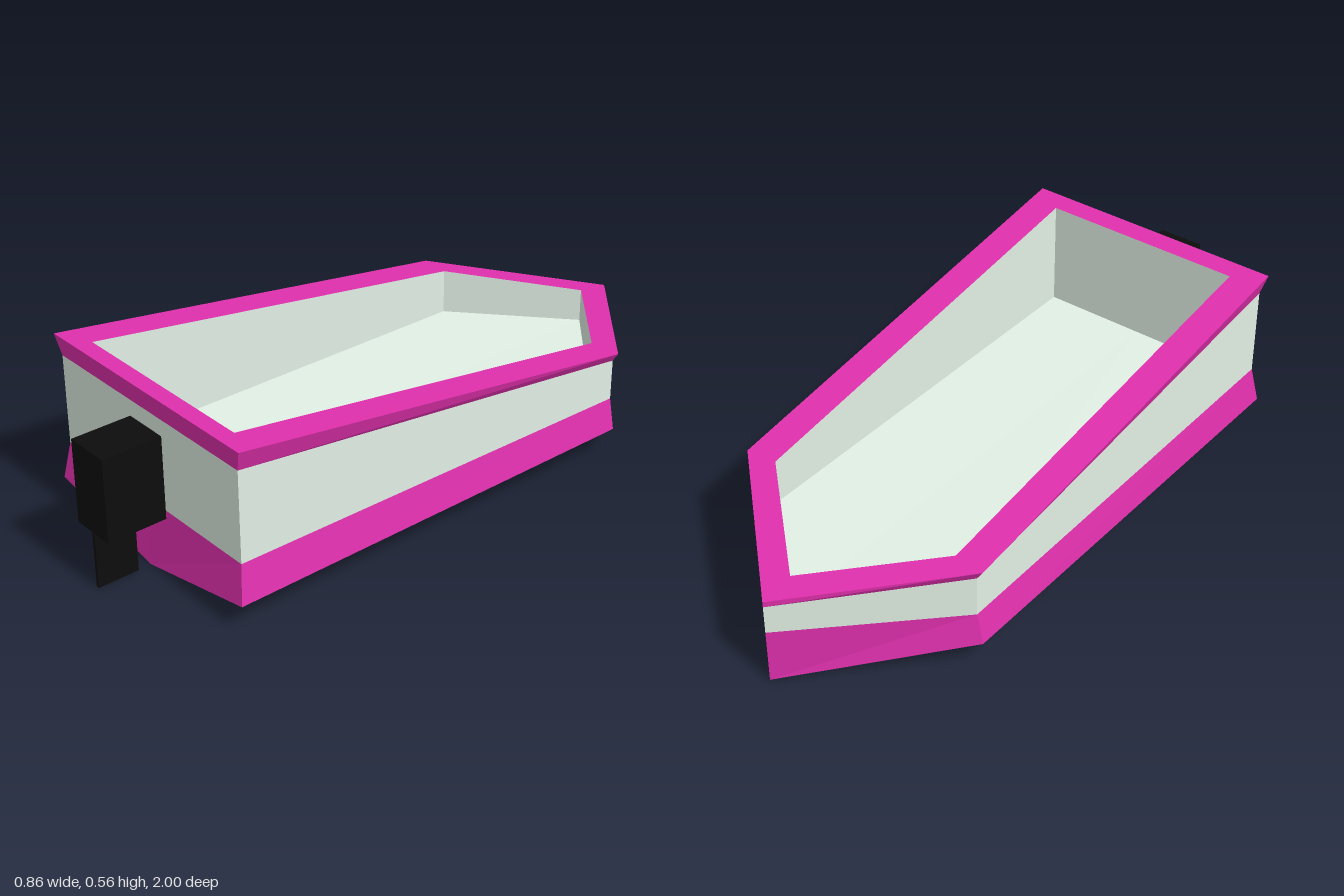
import * as THREE from 'three';

const paint = (color) => new THREE.MeshStandardMaterial({ color, flatShading: true });

// Six-point plan outline: stern corner, shoulder, bow, shoulder, stern corner, stern middle.
// Each station is [z, y].
function ring(halfWidth, stern, shoulder, bow, middleY = stern[1]) {
  const at = (x, [z, y]) => [x, y, z];
  return [
    at(halfWidth, stern), at(halfWidth, shoulder), at(0, bow),
    at(-halfWidth, shoulder), at(-halfWidth, stern), [0, middleY, stern[0]],
  ];
}

// Band of quads between two outlines
function band(a, b) {
  const out = [];
  a.forEach((p, i) => {
    const j = (i + 1) % a.length;
    out.push(p, a[j], b[j], p, b[j], b[i]);
  });
  return out;
}

// Fan from the stern middle that closes an outline
function cap(r, faceDown) {
  const out = [];
  for (let i = 0; i < 4; i++) {
    out.push(r[5], ...(faceDown ? [r[i + 1], r[i]] : [r[i], r[i + 1]]));
  }
  return out;
}

function facets(name, points, material) {
  const geometry = new THREE.BufferGeometry();
  geometry.setAttribute('position', new THREE.Float32BufferAttribute(points.flat(), 3));
  geometry.computeVertexNormals();
  const mesh = new THREE.Mesh(geometry, material);
  mesh.name = name;
  return mesh;
}

function box(name, size, position, material) {
  const mesh = new THREE.Mesh(new THREE.BoxGeometry(...size), material);
  mesh.position.set(...position);
  mesh.name = name;
  return mesh;
}

export function createModel() {
  const boat = new THREE.Group();
  boat.name = 'motorBoat';
  const pink = paint(0xe030ad);
  const white = paint(0xe2f0e5);
  const black = paint(0x0d0d0d);

  // Outlines from the keel up to the rim, then inward and down to the floor
  const chine = ring(0.43, [0.825, 0.085], [-0.6, 0.085], [-1, 0], 0);
  const stripe = ring(0.41, [0.807, 0.204], [-0.6, 0.184], [-1, 0.177]);
  const underRim = ring(0.41, [0.807, 0.492], [-0.6, 0.315], [-1, 0.27]);
  const rimOuter = ring(0.43, [0.817, 0.557], [-0.6, 0.345], [-1, 0.288]);
  const rimInner = ring(0.33, [0.755, 0.548], [-0.59, 0.346], [-0.89, 0.304]);
  const floor = ring(0.33, [0.755, 0.204], [-0.59, 0.2], [-0.89, 0.196]);

  // Hull
  boat.add(
    facets('hullBottom', cap(chine, true), white),
    facets('lowerStripe', band(chine, stripe), pink),
    facets('hullSides', band(stripe, underRim), white),
    facets('gunwale', [...band(underRim, rimOuter), ...band(rimOuter, rimInner)], pink),
    facets('innerWalls', band(rimInner, floor), white),
    facets('floor', cap(floor, false), white),
  );

  // Outboard motor on the stern
  const motor = new THREE.Group();
  motor.name = 'outboardMotor';
  motor.add(
    box('motorHousing', [0.146, 0.263, 0.19], [0, 0.3115, 0.905], black),
    box('motorLeg', [0.01, 0.18, 0.133], [0, 0.09, 0.9335], black),
  );
  boat.add(motor);
  return boat;
}
